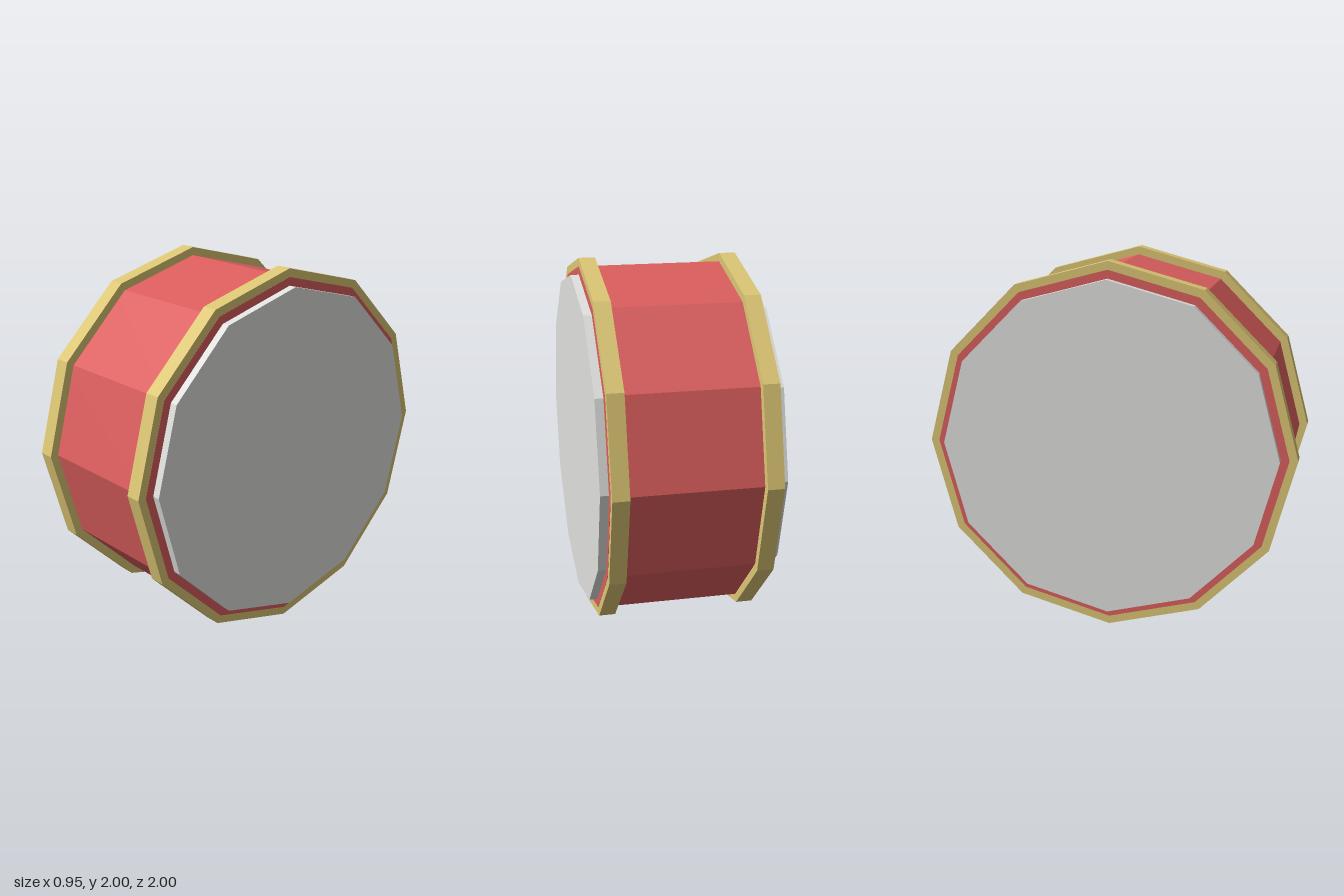
import * as THREE from 'three';

export function createModel() {
  const model = new THREE.Group();
  model.name = 'drum';

  const mat = (name, color) => {
    const m = new THREE.MeshStandardMaterial({ color, flatShading: true });
    m.name = name;
    return m;
  };
  const red = mat('red shell', 0xdc5e5e);
  const gold = mat('gold rim', 0xdcc674);
  const white = mat('pale drumhead', 0xe0e0de);

  // Twelve-sided disc lying along x, centred on the drum axis
  const disc = (name, radius, x0, x1, material) => {
    const geometry = new THREE.CylinderGeometry(radius, radius, x1 - x0, 12);
    geometry.rotateZ(-Math.PI / 2);
    const mesh = new THREE.Mesh(geometry, material);
    mesh.name = name;
    mesh.position.set((x0 + x1) / 2, 1, 0);
    model.add(mesh);
  };

  // Shell runs right through both rims, showing as a thin ring at each end
  disc('shell', 0.955, -0.431, 0.431, red);

  // Rim hoop and drumhead on each end
  for (const [side, s] of [['left', 1], ['right', -1]]) {
    const span = (a, b) => (s > 0 ? [a, b] : [-b, -a]);
    disc(side + 'Rim', 1, ...span(0.342, 0.43), gold);
    disc(side + 'Drumhead', 0.91, ...span(0.4, 0.475), white);
  }

  return model;
}
